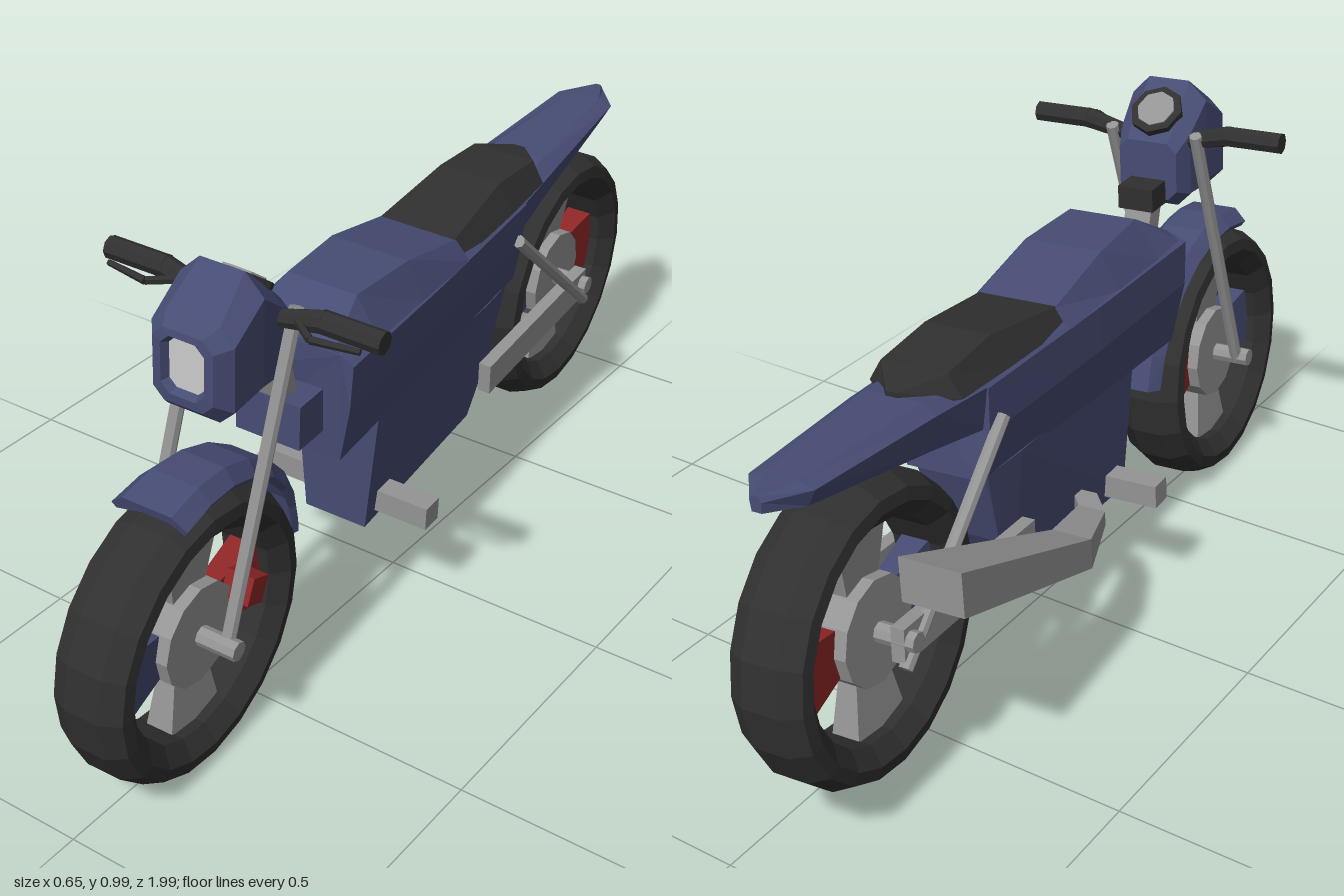
import * as THREE from 'three';

const mat = (color, side = THREE.FrontSide) => new THREE.MeshStandardMaterial({ color, flatShading: true, side });
const blue = mat(0x474c74), black = mat(0x303030), metal = mat(0x949494), red = mat(0x8f2626), pale = mat(0xcccccc);

// Skin a row of equal rings (each clockwise seen from the front, rings run front to back)
function loft(rings) {
  const pos = [], n = rings[0].length, last = rings.length - 1;
  const tri = (a, b, c) => pos.push(...a, ...b, ...c);
  for (let i = 0; i < last; i++) {
    for (let j = 0; j < n; j++) {
      const k = (j + 1) % n;
      const a = rings[i][j], b = rings[i][k], c = rings[i + 1][k], d = rings[i + 1][j];
      tri(a, b, c);
      tri(a, c, d);
    }
  }
  for (let k = 1; k < n - 1; k++) {
    tri(rings[0][0], rings[0][k + 1], rings[0][k]);
    tri(rings[last][0], rings[last][k], rings[last][k + 1]);
  }
  const g = new THREE.BufferGeometry();
  g.setAttribute('position', new THREE.Float32BufferAttribute(pos, 3));
  g.computeVertexNormals();
  return g;
}

// Mirrored ring from a half profile [x, y, dz] listed top to bottom
function ring(z, half) {
  const right = half.map(([x, y, dz = 0]) => [x, y, z + dz]);
  return [...right, ...right.map(([x, y, d]) => [-x, y, d]).reverse()];
}

export function createModel() {
  const model = new THREE.Group();
  const bike = new THREE.Group();
  bike.name = 'motorcycle';
  bike.position.x = -0.05;
  bike.rotation.set(0, 0.072, -0.055, 'YXZ'); // parked slightly turned and leaning
  model.add(bike);

  const add = (name, geo, material, parent = bike) => {
    const m = new THREE.Mesh(geo, material);
    m.name = name;
    parent.add(m);
    return m;
  };
  const box = (name, material, size, at, pitch = 0) => {
    const m = add(name, new THREE.BoxGeometry(...size), material);
    m.position.set(...at);
    m.rotation.x = pitch;
    return m;
  };
  const rod = (name, material, a, b, r0, r1 = r0, sides = 8) => {
    const p = new THREE.Vector3(...a), q = new THREE.Vector3(...b), d = q.clone().sub(p);
    const m = add(name, new THREE.CylinderGeometry(r1, r0, d.length(), sides), material);
    m.position.copy(p).add(q).multiplyScalar(0.5);
    m.quaternion.setFromUnitVectors(new THREE.Vector3(0, 1, 0), d.normalize());
    return m;
  };

  // Wheels: chamfered tyre, hub, axle and four wide spokes
  const tyre = [[0.21, -0.05], [0.245, -0.078], [0.27, -0.074], [0.29, -0.036],
    [0.29, 0.036], [0.27, 0.074], [0.245, 0.078], [0.21, 0.05], [0.21, -0.05]]
    .map(([r, y]) => new THREE.Vector2(r, y));
  const wheel = (name, y, z) => {
    const g = new THREE.Group();
    g.name = name;
    g.position.set(0, y, z);
    bike.add(g);
    add('tyre', new THREE.LatheGeometry(tyre, 20).rotateZ(Math.PI / 2), black, g);
    add('hub', new THREE.CylinderGeometry(0.105, 0.105, 0.09, 12).rotateZ(Math.PI / 2), metal, g);
    add('axle', new THREE.CylinderGeometry(0.02, 0.02, 0.255, 8).rotateZ(Math.PI / 2), metal, g);
    [metal, blue, metal, red].forEach((m, i) => {
      const s = new THREE.CylinderGeometry(0.108, 0.066, 0.14, 4).rotateY(Math.PI / 4);
      add('spoke', s.scale(0.4, 1, 1).translate(0, 0.15, 0).rotateX(i * Math.PI / 2), m, g);
    });
  };
  wheel('frontWheel', 0.295, 0.7);
  wheel('rearWheel', 0.38, -0.71);
  box('brakeCaliper', red, [0.06, 0.055, 0.05], [0.06, 0.34, 0.585], -0.4);

  // Main body panel, with a crease along its sides
  const panel = (z, top, w, bottom) => ring(z, [[w * 0.8, top], [w, top - 0.015], [w * 0.97, 0.625], [w * 0.78, bottom, -0.015]]);
  add('bodyPanel', loft([panel(0.355, 0.735, 0.137, 0.495), panel(0, 0.735, 0.125, 0.51), panel(-0.39, 0.735, 0.102, 0.53)]), blue);

  // Engine cover tapering downwards
  add('engineCover', loft([
    ring(0.18, [[0.098, 0.53], [0.07, 0.215, -0.01]]),
    ring(-0.27, [[0.09, 0.53], [0.062, 0.24]]),
    ring(-0.335, [[0.085, 0.53], [0.068, 0.36]]),
    ring(-0.38, [[0.08, 0.535], [0.075, 0.52]]),
  ]), blue);

  // Tank, seat and tail
  add('tank', loft([
    ring(0.352, [[0.095, 0.74], [0.13, 0.72]]),
    ring(0.25, [[0.075, 0.8], [0.13, 0.72]]),
    ring(0.08, [[0.085, 0.797], [0.125, 0.72]]),
    ring(-0.11, [[0.085, 0.757], [0.12, 0.72]]),
  ]), blue);
  add('seat', loft([
    ring(-0.1, [[0.085, 0.757], [0.108, 0.72]]),
    ring(-0.32, [[0.07, 0.79], [0.106, 0.73]]),
    ring(-0.47, [[0.07, 0.78], [0.098, 0.735]]),
    ring(-0.545, [[0.012, 0.765], [0.015, 0.735]]),
  ]), black);
  add('tail', loft([
    ring(-0.38, [[0.07, 0.735], [0.1, 0.72], [0.085, 0.63]]),
    ring(-0.54, [[0.06, 0.755], [0.09, 0.735], [0.07, 0.66]]),
    ring(-0.87, [[0.035, 0.765], [0.066, 0.755], [0.05, 0.722]]),
    ring(-0.94, [[0.006, 0.765], [0.012, 0.755], [0.01, 0.735]]),
  ]), blue);

  // Steering head
  box('headTube', blue, [0.14, 0.095, 0.11], [0, 0.598, 0.37]);
  box('steeringColumn', metal, [0.06, 0.15, 0.045], [0, 0.695, 0.415], 0.33);
  box('ignitionBlock', black, [0.08, 0.05, 0.065], [0, 0.778, 0.43]);

  // Headlamp housing with lens and gauge
  const shell = (z, w, low, high, cut) => ring(z, [[w - cut, high], [w, high - cut], [w, low + cut], [w - cut, low]]);
  add('headlampHousing', loft([
    shell(0.665, 0.034, 0.793, 0.887, 0.014),
    shell(0.687, 0.045, 0.783, 0.897, 0.018),
    shell(0.685, 0.062, 0.765, 0.91, 0.022),
    shell(0.655, 0.085, 0.737, 0.925, 0.03),
    shell(0.57, 0.086, 0.735, 0.99, 0.04),
    shell(0.5, 0.08, 0.735, 0.925, 0.03),
    shell(0.46, 0.066, 0.76, 0.885, 0.02),
  ]), blue);
  add('headlampLens', loft([shell(0.672, 0.037, 0.79, 0.89, 0.014), shell(0.64, 0.036, 0.79, 0.89, 0.014)]), pale);
  rod('gaugeHousing', black, [0, 0.87, 0.56], [0, 0.942, 0.505], 0.055, 0.058);
  rod('gaugeFace', metal, [0, 0.93, 0.515], [0, 0.945, 0.503], 0.042);

  // Front mudguard swept around the wheel
  const guard = [];
  for (let i = 0; i <= 7; i++) {
    const a = THREE.MathUtils.degToRad(74 + i * 14), w = 0.08 - 0.004 * i;
    const at = (x, r) => [x, 0.295 + r * Math.sin(a), 0.7 + r * Math.cos(a)];
    guard.push([at(w * 0.65, 0.338), at(w, 0.312), at(w * 0.9, 0.3), at(w * 0.55, 0.318),
      at(-w * 0.55, 0.318), at(-w * 0.9, 0.3), at(-w, 0.312), at(-w * 0.65, 0.338)]);
  }
  add('frontMudguard', loft(guard), blue);

  // Paired parts
  for (const s of [1, -1]) {
    rod('forkLeg', metal, [s * 0.098, 0.29, 0.695], [s * 0.098, 0.9, 0.49], 0.014);
    rod('handlebar', black, [s * 0.05, 0.875, 0.51], [s * 0.17, 0.903, 0.508], 0.016, 0.022);
    rod('grip', black, [s * 0.16, 0.902, 0.508], [s * 0.285, 0.902, 0.508], 0.022);
    rod('leverArm', black, [s * 0.12, 0.895, 0.52], [s * 0.17, 0.895, 0.56], 0.008, 0.008, 5);
    rod('lever', black, [s * 0.17, 0.895, 0.56], [s * 0.26, 0.895, 0.545], 0.008, 0.006, 5);
    rod('shockAbsorber', metal, [s * 0.108, 0.65, -0.355], [s * 0.108, 0.33, -0.73], 0.014);
    box('swingArm', metal, [0.028, 0.07, 0.46], [s * 0.096, 0.362, -0.5], 0.06);
    box('footPeg', metal, [0.13, 0.05, 0.05], [s * 0.125, 0.262, 0.11]);
  }

  // Exhaust rising along the right side
  const pipe = (z, inner, outer, low, high) => [[inner, high, z], [inner, low, z], [outer, low, z], [outer, high, z]];
  add('exhaust', loft([
    pipe(-0.02, -0.05, -0.11, 0.28, 0.31),
    pipe(-0.08, -0.1, -0.16, 0.28, 0.312),
    pipe(-0.24, -0.13, -0.215, 0.285, 0.35),
    pipe(-0.745, -0.125, -0.25, 0.485, 0.575),
  ]), metal);

  return model;
}
